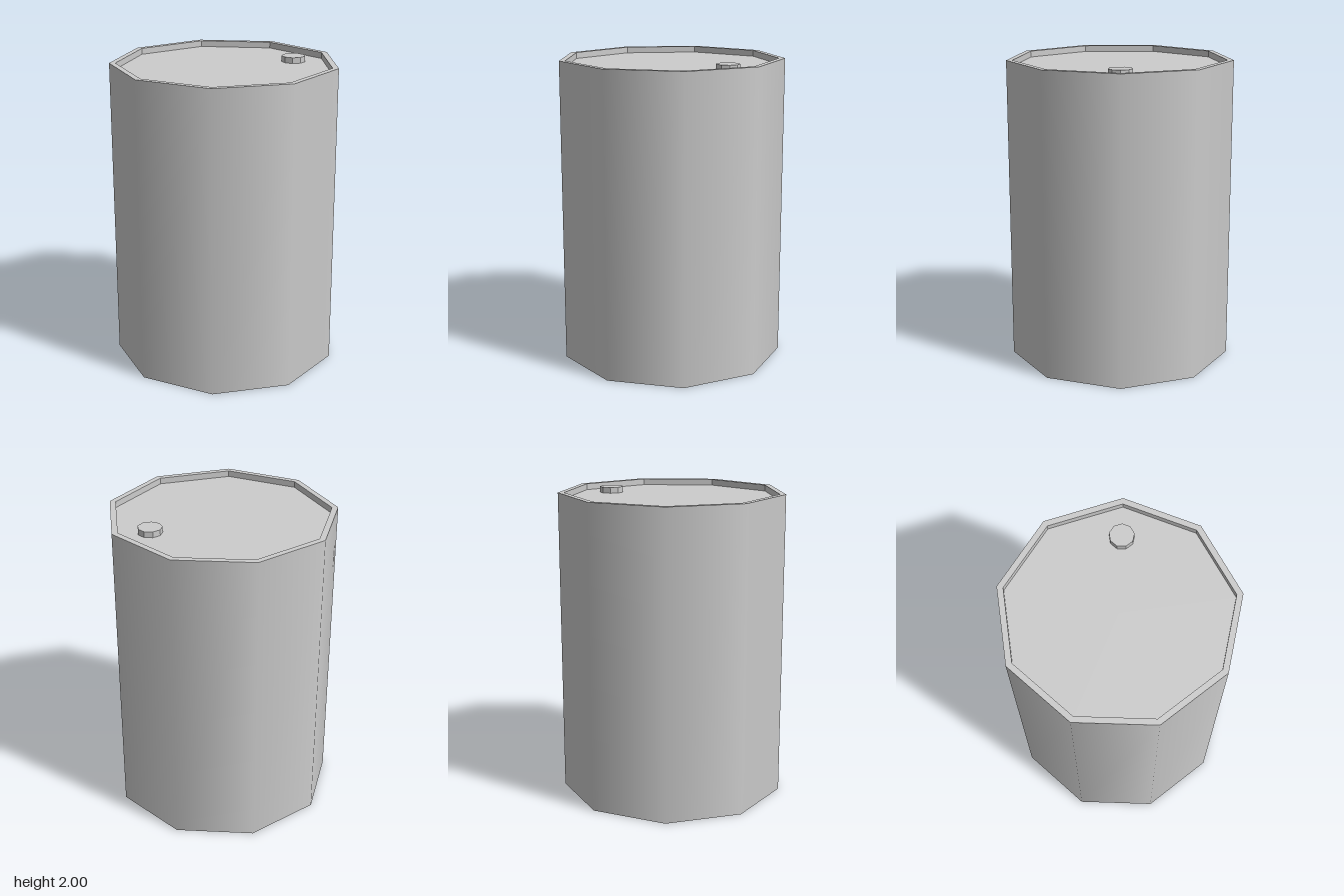
import * as THREE from 'three';

const SIDES = 9, HEIGHT = 2, LID_Y = 1.96, RADIUS = 0.74, INNER = 0.7;
const START = Math.PI / 2; // first corner points to +x

const smooth = new THREE.MeshStandardMaterial({ color: 0xcccccc });
const flat = new THREE.MeshStandardMaterial({ color: 0xcccccc, flatShading: true });
const inward = new THREE.MeshStandardMaterial({ color: 0xcccccc, flatShading: true, side: THREE.BackSide });

function add(group, name, geometry, material, x, y) {
  const mesh = new THREE.Mesh(geometry, material);
  mesh.name = name;
  mesh.position.set(x, y, 0);
  group.add(mesh);
}

const tube = (r, h, open) => new THREE.CylinderGeometry(r, r, h, SIDES, 1, open, START);
const disc = (r) => new THREE.CircleGeometry(r, SIDES).rotateX(-Math.PI / 2);

export function createModel() {
  const barrel = new THREE.Group();
  barrel.name = 'barrel';
  // an odd-sided outline is centred by its extents
  const cx = -RADIUS * (1 - Math.cos(Math.PI / SIDES)) / 2;

  // smooth-shaded outer wall and flat base
  add(barrel, 'outerWall', tube(RADIUS, HEIGHT, true), smooth, cx, HEIGHT / 2);
  add(barrel, 'base', disc(RADIUS).rotateX(Math.PI), flat, cx, 0);

  // rim and the recessed lid inside it
  const rim = new THREE.RingGeometry(INNER, RADIUS, SIDES, 1).rotateX(-Math.PI / 2);
  add(barrel, 'rim', rim, flat, cx, HEIGHT);
  add(barrel, 'rimInnerWall', tube(INNER, HEIGHT - LID_Y, true), inward, cx, (HEIGHT + LID_Y) / 2);
  add(barrel, 'lid', disc(INNER), flat, cx, LID_Y);

  // filler cap near the +x corner
  add(barrel, 'fillerCap', tube(0.078, 0.038, false), flat, 0.468, LID_Y + 0.019);
  return barrel;
}
